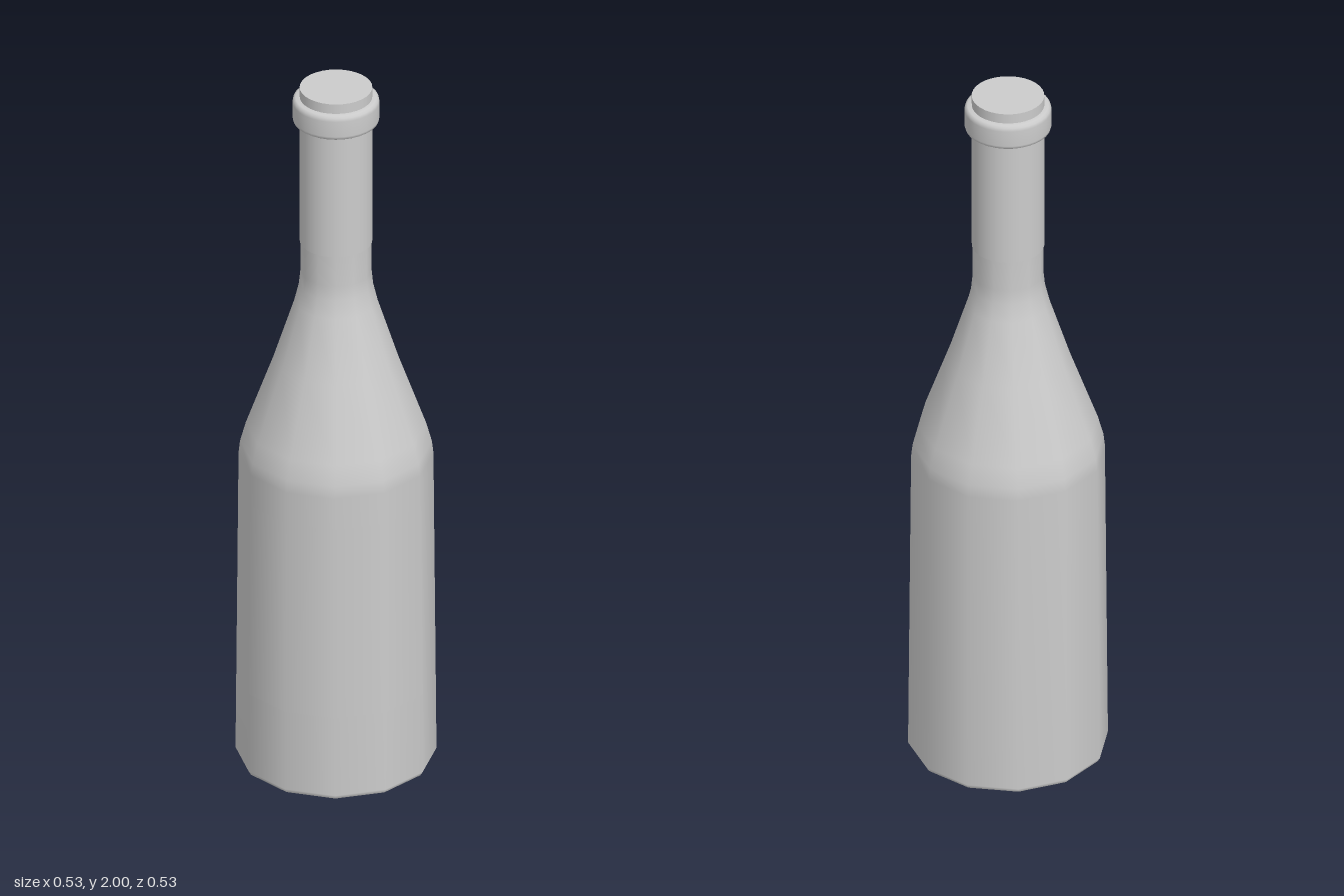
import * as THREE from 'three';

const material = new THREE.MeshStandardMaterial({ color: 0xcccccc });
const thin = new THREE.MeshStandardMaterial({ color: 0xcccccc, side: THREE.DoubleSide });

export function createModel() {
  const bottle = new THREE.Group();
  bottle.name = 'bottle';

  const add = (name, geometry, mat = material) => {
    const mesh = new THREE.Mesh(geometry, mat);
    mesh.name = name;
    bottle.add(mesh);
    return mesh;
  };
  // Profiles are [radius, height] pairs, bottom to top
  const lathe = (profile, sides) =>
    new THREE.LatheGeometry(profile.map(([r, y]) => new THREE.Vector2(r, y)), sides);

  // Twelve-sided glass: slightly tapered body, sloping shoulder and lower neck
  add('glassBody', lathe([
    [0.258, 0], [0.265, 0.012], [0.257, 0.9], [0.253, 0.935], [0.238, 0.99],
    [0.165, 1.19], [0.11, 1.36], [0.098, 1.41], [0.094, 1.45], [0.094, 1.55],
  ], 12));

  // Flat underside
  add('base', new THREE.CircleGeometry(0.258, 12).rotateX(Math.PI / 2));

  // Round foil sleeve around the neck, closed at the top
  const foil = new THREE.CylinderGeometry(0.096, 0.096, 0.46, 32);
  add('neckFoil', foil).position.y = 1.77;

  // Rounded lip collar
  add('lipCollar', lathe([
    [0.094, 1.9], [0.107, 1.9], [0.113, 1.904], [0.115, 1.912],
    [0.115, 1.957], [0.113, 1.966], [0.107, 1.971], [0.094, 1.972],
  ], 32));

  // Label wrapped over the four front facets
  const label = new THREE.CylinderGeometry(
    0.2605, 0.2655, 0.565, 4, 1, true, -Math.PI / 3, Math.PI * 2 / 3);
  add('label', label, thin).position.y = 0.5275;

  return bottle;
}
